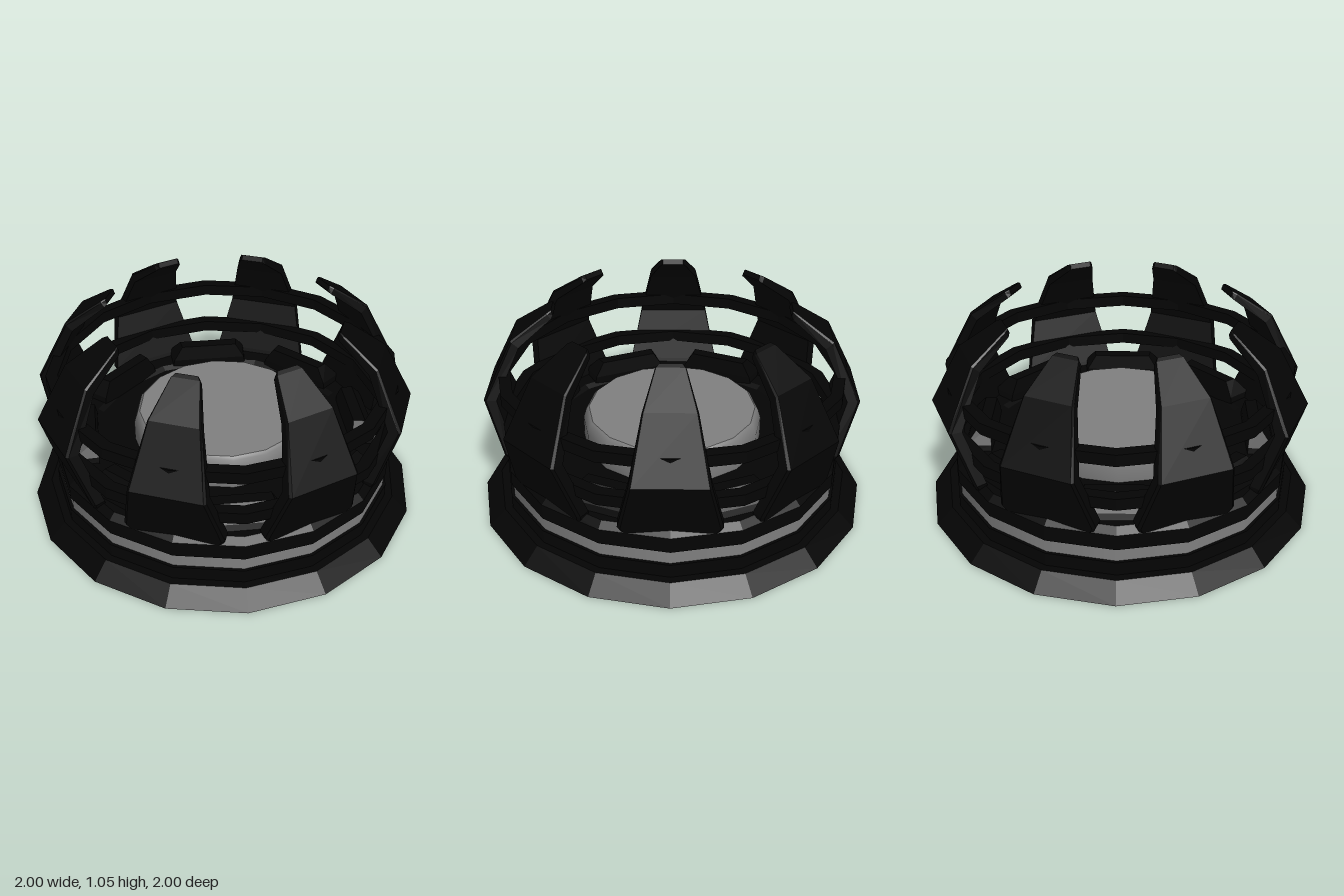
import * as THREE from 'three';

const dark = new THREE.MeshStandardMaterial({ color: 0x040404, flatShading: true, side: THREE.DoubleSide });
const grey = new THREE.MeshStandardMaterial({ color: 0x808080, side: THREE.DoubleSide });

function add(parent, name, geometry, material) {
  const mesh = new THREE.Mesh(geometry, material);
  mesh.name = name;
  parent.add(mesh);
  return mesh;
}

// Faceted ring or disc from [radius, height] pairs
function turned(profile) {
  return new THREE.LatheGeometry(profile.map(([r, y]) => new THREE.Vector2(r, y)), 16);
}

// Closed solid through equal-sized rings of [x, y, z] points, capped at both ends
function loft(rings) {
  const n = rings[0].length;
  const index = [];
  for (let i = 0; i < rings.length - 1; i++) {
    for (let j = 0; j < n; j++) {
      const a = i * n + j, b = i * n + (j + 1) % n;
      index.push(a, b, b + n, a, b + n, a + n);
    }
  }
  const top = (rings.length - 1) * n;
  for (let j = 1; j < n - 1; j++) {
    index.push(0, j + 1, j, top, top + j, top + j + 1);
  }
  const geometry = new THREE.BufferGeometry();
  geometry.setAttribute('position', new THREE.Float32BufferAttribute(rings.flat(2), 3));
  geometry.setIndex(index);
  geometry.computeVertexNormals();
  return geometry;
}

// Bent claw; each row is outer radius, outer height, inner radius, inner height, half width
function clawGeometry() {
  const rows = [
    [0.83, 0.30, 0.77, 0.30, 0.225],
    [0.845, 0.335, 0.785, 0.35, 0.245],
    [0.935, 0.62, 0.87, 0.62, 0.185],
    [0.79, 0.92, 0.75, 0.885, 0.125],
    [0.61, 1.045, 0.59, 1.015, 0.07],
    [0.59, 1.055, 0.58, 1.03, 0.055],
  ];
  return loft(rows.map(([ro, yo, ri, yi, w]) => {
    const point = (x, t) => [x, yo + (yi - yo) * t, ro + (ri - ro) * t];
    const bevel = w * 0.94;
    return [point(-bevel, 0), point(bevel, 0), point(w, 0.2), point(w, 1), point(-w, 1), point(-w, 0.2)];
  }));
}

// Low sloping vent housing between two claws
function ventGeometry() {
  const rows = [
    [0.80, 0.65, 0.31, 0.22],
    [0.78, 0.65, 0.36, 0.21],
    [0.72, 0.66, 0.44, 0.16],
  ];
  return loft(rows.map(([ro, ri, y, w]) => [[-w, y, ro], [w, y, ro], [w * 0.95, y, ri], [-w * 0.95, y, ri]]));
}

export function createModel() {
  const model = new THREE.Group();
  model.name = 'clawedDomeFrame';

  // Stepped base: a thin shell, open underneath
  add(model, 'baseFlange', turned([
    [1, 0], [0.915, 0.08], [0.875, 0.08], [0.875, 0.15], [0.86, 0.15],
  ]), dark);
  add(model, 'lightBand', turned([[0.86, 0.15], [0.86, 0.22]]), grey);
  add(model, 'upperCollar', turned([
    [0.86, 0.22], [0.87, 0.22], [0.87, 0.30], [0.835, 0.33], [0.70, 0.33], [0.67, 0.315], [0.46, 0.315],
  ]), dark);

  // Raised lens in the middle, with a dark plate underneath
  add(model, 'lensSide', turned([[0.445, 0.312], [0.46, 0.312], [0.46, 0.42], [0.445, 0.47], [0.43, 0.485]]), grey);
  add(model, 'lensTop', turned([[0.43, 0.485], [0, 0.485]]), grey);
  add(model, 'lensUnderside', turned([[0, 0.315], [0.45, 0.315]]), dark);

  // Two square-section hoops joining the claws
  for (const [name, r, y] of [['lowerHoop', 0.85, 0.477], ['upperHoop', 0.855, 0.712]]) {
    const h = 0.03;
    add(model, name, turned([
      [r - h, y - h], [r + h, y - h], [r + h, y + h], [r - h, y + h], [r - h, y - h],
    ]), dark);
  }

  // Claws every eighth of a turn, a vent housing in each gap
  const claw = clawGeometry();
  const vent = ventGeometry();
  const slat = new THREE.BoxGeometry(0.42, 0.015, 0.025);
  for (let i = 0; i < 8; i++) {
    add(model, 'claw', claw, dark).rotation.y = i * Math.PI / 4;

    const unit = new THREE.Group();
    unit.name = 'ventUnit';
    unit.rotation.y = (i + 0.5) * Math.PI / 4;
    add(unit, 'ventHousing', vent, dark);
    for (let k = 0; k < 4; k++) {
      add(unit, 'ventSlat', slat, dark).position.set(0, 0.305, 0.64 + k * 0.045);
    }
    model.add(unit);
  }
  return model;
}
